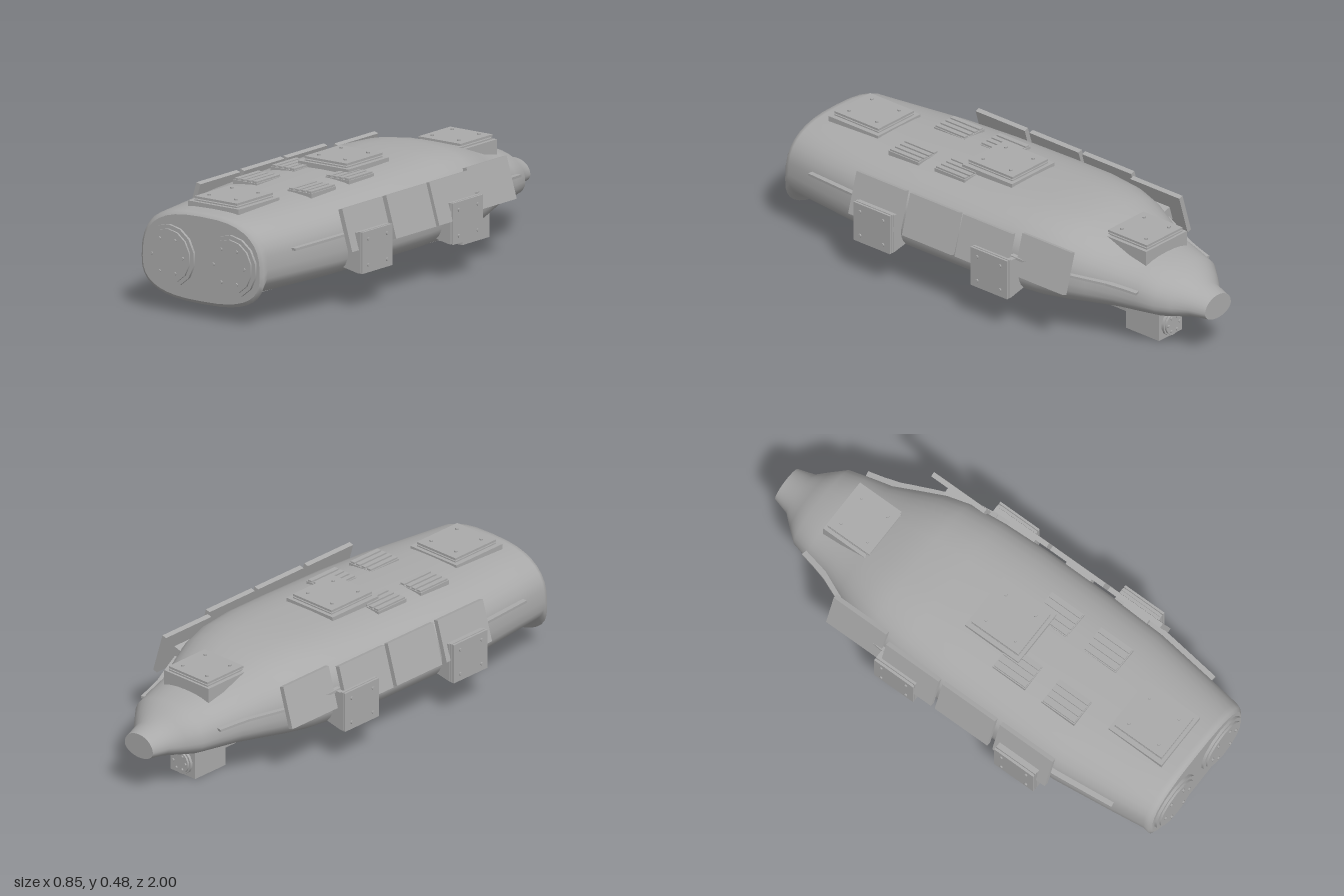
import * as THREE from 'three';

const grey = new THREE.MeshStandardMaterial({ color: 0xaaaaaa });
grey.name = 'hull grey';

// Hull stations: z, half width, bottom, top, roundness exponent
const stations = [
  [0.975, 0.285, 0.07, 0.405, 2.7], [0.965, 0.298, 0.057, 0.417, 2.7], [0.945, 0.302, 0.1, 0.42, 2.7],
  [0.8, 0.322, 0.1, 0.425, 2.7], [0.55, 0.352, 0.1, 0.433, 2.8], [0.3, 0.36, 0.1, 0.443, 2.8],
  [0, 0.36, 0.1, 0.45, 2.8], [-0.2, 0.35, 0.103, 0.457, 2.8], [-0.35, 0.335, 0.108, 0.453, 2.7],
  [-0.45, 0.31, 0.116, 0.435, 2.6], [-0.55, 0.268, 0.124, 0.405, 2.5], [-0.65, 0.225, 0.131, 0.372, 2.4],
  [-0.75, 0.202, 0.137, 0.355, 2.3], [-0.83, 0.182, 0.142, 0.338, 2.2], [-0.88, 0.14, 0.148, 0.31, 2.1],
  [-0.93, 0.095, 0.154, 0.282, 2], [-1, 0.075, 0.163, 0.262, 2],
];

function halfWidth(z) {
  for (let i = 1; i < stations.length; i++) {
    const [a, b] = [stations[i - 1], stations[i]];
    if (z >= b[0]) return THREE.MathUtils.lerp(b[1], a[1], (z - b[0]) / (a[0] - b[0]));
  }
  return 0.075;
}

function add(parent, name, geometry, x = 0, y = 0, z = 0) {
  const mesh = new THREE.Mesh(geometry, grey);
  mesh.name = name;
  mesh.position.set(x, y, z);
  parent.add(mesh);
  return mesh;
}

// Box given by its extents
function box(parent, name, x0, x1, y0, y1, z0, z1) {
  const geometry = new THREE.BoxGeometry(x1 - x0, y1 - y0, z1 - z0);
  return add(parent, name, geometry, (x0 + x1) / 2, (y0 + y1) / 2, (z0 + z1) / 2);
}

// Smooth loft through the stations, with flat end caps
function hullGeometry() {
  const n = 36, pos = [], index = [];
  const ring = ([z, w, lo, hi, e]) => {
    const mid = lo + (hi - lo) * 0.42;
    for (let j = 0; j < n; j++) {
      const t = (j / n) * Math.PI * 2, c = Math.cos(t), s = Math.sin(t);
      const h = s > 0 ? hi - mid : mid - lo;
      pos.push(w * Math.sign(c) * Math.abs(c) ** (2 / e), mid + h * Math.sign(s) * Math.abs(s) ** (2 / e), z);
    }
  };
  stations.forEach(ring);
  for (let i = 0; i < stations.length - 1; i++) {
    for (let j = 0; j < n; j++) {
      const a = i * n + j, b = i * n + (j + 1) % n;
      index.push(a, a + n, b, b, a + n, b + n);
    }
  }
  for (const [s, front] of [[stations[0], true], [stations[stations.length - 1], false]]) {
    const start = pos.length / 3;
    ring(s);
    pos.push(0, (s[2] + s[3]) / 2, s[0]);
    for (let j = 0; j < n; j++) {
      const a = start + j, b = start + (j + 1) % n;
      index.push(start + n, front ? a : b, front ? b : a);
    }
  }
  const g = new THREE.BufferGeometry();
  g.setAttribute('position', new THREE.Float32BufferAttribute(pos, 3));
  g.setIndex(index);
  g.computeVertexNormals();
  return g;
}

const bolt = new THREE.CylinderGeometry(0.007, 0.007, 0.012, 6);

// Stepped square hatch facing local +y
function hatch(parent, name, w, d, base) {
  const g = new THREE.Group();
  g.name = name;
  if (base) box(g, 'hatchBase', -base, base, -0.02, 0.018, -base - 0.005, base + 0.005);
  box(g, 'hatchCore', -w * 0.88, w * 0.88, 0, 0.03, -d * 0.88, d * 0.88);
  box(g, 'hatchLowerPlate', -w, w, 0.012, 0.023, -d, d);
  box(g, 'hatchCover', -w, w, 0.027, 0.036, -d, d);
  for (const x of [-1, 1]) for (const z of [-1, 1]) add(g, 'hatchBolt', bolt, x * w * 0.63, 0.036, z * d * 0.63);
  parent.add(g);
  return g;
}

// Round bolted cover facing local +z
function roundCover(parent, name, r, sides) {
  const g = new THREE.Group();
  g.name = name;
  const disc = (part, radius, depth, z) =>
    add(g, part, new THREE.CylinderGeometry(radius, radius, depth, sides).rotateX(Math.PI / 2), 0, 0, z);
  disc('coverRim', r, 0.014, 0.004);
  disc('coverPlate', r * 0.87, 0.016, 0.011);
  for (let i = 0; i < 6; i++) {
    const t = (i * Math.PI) / 3;
    add(g, 'coverBolt', bolt, Math.cos(t) * r * 0.61, Math.sin(t) * r * 0.61, 0.019).rotation.x = Math.PI / 2;
  }
  parent.add(g);
  return g;
}

// Thin strake that follows the hull side
function strake(parent, side, from, to, y0, y1) {
  const steps = 8, points = [];
  for (let i = 0; i <= steps; i++) {
    const z = from + ((to - from) * i) / steps;
    points.push(new THREE.Vector3(side * (halfWidth(z) - 0.006), y0 + ((y1 - y0) * i) / steps, z));
  }
  for (let i = 0; i < steps; i++) {
    const m = add(parent, 'sideStrake', new THREE.BoxGeometry(0.04, 0.01, points[i].distanceTo(points[i + 1]) + 0.004));
    m.position.lerpVectors(points[i], points[i + 1], 0.5);
    m.lookAt(points[i + 1]);
  }
}

// Rectangular frame lying under the hull
function bellyFrame(parent, name, w, y0, y1, z0, z1, t) {
  for (const s of [-1, 1]) box(parent, name, s * (w - t / 2) - t / 2, s * (w - t / 2) + t / 2, y0, y1, z0, z1);
  box(parent, name, -w, w, y0, y1, z0, z0 + t);
  box(parent, name, -w, w, y0, y1, z1 - t, z1);
}

export function createModel() {
  const model = new THREE.Group();
  model.name = 'submersibleHull';
  add(model, 'hull', hullGeometry());

  // Twin front covers
  for (const s of [-1, 1]) roundCover(model, 'frontCover', 0.123, 14).position.set(s * 0.15, 0.232, 0.975);

  // Top hatches, the rear one on a pedestal
  hatch(model, 'frontTopHatch', 0.103, 0.113, 0.123).position.set(0, 0.419, 0.77);
  hatch(model, 'middleTopHatch', 0.103, 0.113, 0.123).position.set(0, 0.445, 0.08);
  hatch(model, 'rearTopHatch', 0.103, 0.1, 0).position.set(0, 0.385, -0.625);
  box(model, 'rearHatchPedestal', -0.118, 0.118, 0.29, 0.402, -0.735, -0.525);

  for (const s of [-1, 1]) {
    // Slatted vents on the deck
    for (const [z, y] of [[0.213, 0.441], [0.45, 0.435]]) {
      box(model, 'ventPlate', s * 0.133 - 0.058, s * 0.133 + 0.058, y - 0.02, y + 0.004, z - 0.078, z + 0.078);
      for (let i = -1.5; i < 2; i++) {
        const x = s * 0.133 + i * 0.029;
        box(model, 'ventSlat', x - 0.01, x + 0.01, y, y + 0.011, z - 0.075, z + 0.075);
      }
    }

    // Tilted side plates
    [0.42, 0.143, -0.128, -0.405].forEach((z, i) => {
      const x = i === 3 ? 0.337 : 0.37;
      const plate = add(model, 'sidePlate', new THREE.BoxGeometry(0.02, 0.172, 0.253), s * x, 0.322, z);
      plate.rotation.z = s * 0.29;
      const mount = add(model, 'sidePlateMount', new THREE.BoxGeometry(0.05, 0.06, 0.12), s * (x - 0.03), 0.3, z);
      mount.rotation.z = s * 0.29;
    });

    // Side hatch boxes
    for (const [z, x] of [[0.41, 0.385], [-0.18, 0.37]]) {
      const outline = new THREE.Shape([
        new THREE.Vector2(0.27, 0.175), new THREE.Vector2(x + 0.014, 0.15),
        new THREE.Vector2(x + 0.014, 0.31), new THREE.Vector2(0.27, 0.31),
      ]);
      const geometry = new THREE.ExtrudeGeometry(outline, { depth: 0.19, bevelEnabled: false }).translate(0, 0, -0.095);
      const housing = add(model, 'sideHatchHousing', geometry, 0, 0, z);
      if (s < 0) {
        housing.rotation.y = Math.PI;
      }
      const cover = hatch(model, 'sideHatch', 0.082, 0.094, 0);
      cover.position.set(s * x, 0.232, z);
      cover.rotation.z = -s * Math.PI / 2;
    }

    strake(model, s, 0.81, 0.5, 0.293, 0.305);
    strake(model, s, -0.25, -0.76, 0.31, 0.265);
  }

  // Belly panel, keel rail and front socket
  box(model, 'bellyPanel', -0.125, 0.125, 0.092, 0.12, -0.31, 0.34);
  bellyFrame(model, 'bellyPanelFrame', 0.14, 0.08, 0.12, -0.32, 0.35, 0.016);
  const rail = new THREE.Shape([
    new THREE.Vector2(-0.012, 0.038), new THREE.Vector2(0.012, 0.038),
    new THREE.Vector2(0.018, 0.12), new THREE.Vector2(-0.018, 0.12),
  ]);
  add(model, 'keelRail', new THREE.ExtrudeGeometry(rail, { depth: 1.36, bevelEnabled: false }), 0, 0, -0.59);
  bellyFrame(model, 'keelSocket', 0.05, 0.068, 0.12, 0.61, 0.75, 0.014);

  // Rear keel box with its round cover
  box(model, 'rearKeelBox', -0.066, 0.066, 0.003, 0.16, -0.755, -0.585);
  const tail = roundCover(model, 'rearKeelCover', 0.052, 14);
  tail.position.set(0, 0.06, -0.755);
  tail.rotation.y = Math.PI;

  return model;
}
